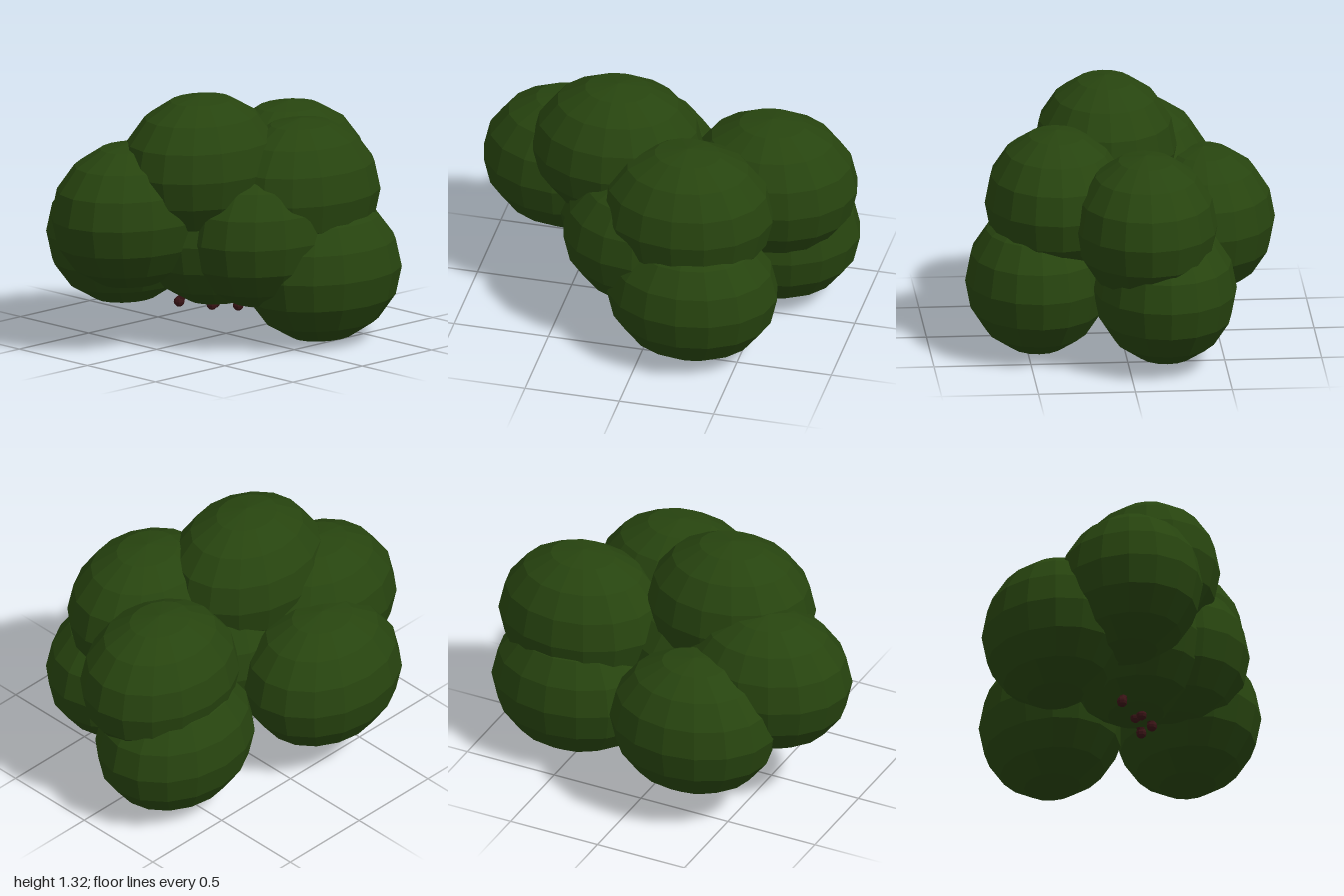
import * as THREE from 'three';

export function createModel() {
  const model = new THREE.Group();
  const leafGreen = new THREE.MeshStandardMaterial({ color: 0x27440f, flatShading: true });
  leafGreen.name = 'leafGreen';
  const twigBrown = new THREE.MeshStandardMaterial({ color: 0x3a1416, flatShading: true });
  twigBrown.name = 'twigBrown';

  // Foliage: equal, low-poly ellipsoids overlapping in one clump
  const puff = new THREE.SphereGeometry(1, 16, 8).scale(0.45, 0.383, 0.37);
  const foliage = new THREE.Group();
  foliage.name = 'foliage';
  const puffs = {
    topPuff: [-0.24, 0.935, 0.06],
    frontUpperPuff: [0.2, 0.785, 0.345],
    leftUpperPuff: [0.54, 0.745, -0.09],
    leftLowerPuff: [0.53, 0.403, -0.19],
    frontLowerPuff: [0.25, 0.383, 0.45],
    backPuff: [-0.28, 0.523, -0.45],
    rightPuff: [-0.55, 0.7, -0.14],
    frontMiddlePuff: [-0.02, 0.585, 0.295],
    corePuff: [-0.1, 0.57, 0.05],
  };
  for (const [name, position] of Object.entries(puffs)) {
    const mesh = new THREE.Mesh(puff, leafGreen);
    mesh.name = name;
    mesh.position.set(...position);
    foliage.add(mesh);
  }
  model.add(foliage);

  // Twigs: short stubs poking out below the core, each with a knobbly tip
  const twigs = new THREE.Group();
  twigs.name = 'twigs';
  const up = new THREE.Vector3(0, 1, 0);
  const ends = [
    [[0.05, 0.19, 0.13], [0.02, 0.3, 0.1]],
    [[-0.06, 0.185, 0.15], [-0.07, 0.3, 0.12]],
    [[-0.12, 0.19, 0.04], [-0.1, 0.3, 0.05]],
    [[-0.16, 0.19, 0.06], [-0.13, 0.3, 0.05]],
    [[-0.26, 0.2, -0.08], [-0.2, 0.32, -0.03]],
  ];
  for (const [a, b] of ends) {
    const tip = new THREE.Vector3(...a);
    const along = new THREE.Vector3(...b).sub(tip);
    const stem = new THREE.Mesh(new THREE.CylinderGeometry(0.025, 0.02, along.length(), 6), twigBrown);
    stem.name = 'twigStem';
    stem.position.copy(tip).addScaledVector(along, 0.5);
    stem.quaternion.setFromUnitVectors(up, along.clone().normalize());
    const knob = new THREE.Mesh(new THREE.SphereGeometry(0.028, 8, 6), twigBrown);
    knob.name = 'twigTip';
    knob.position.copy(tip);
    twigs.add(stem, knob);
  }
  model.add(twigs);
  return model;
}
